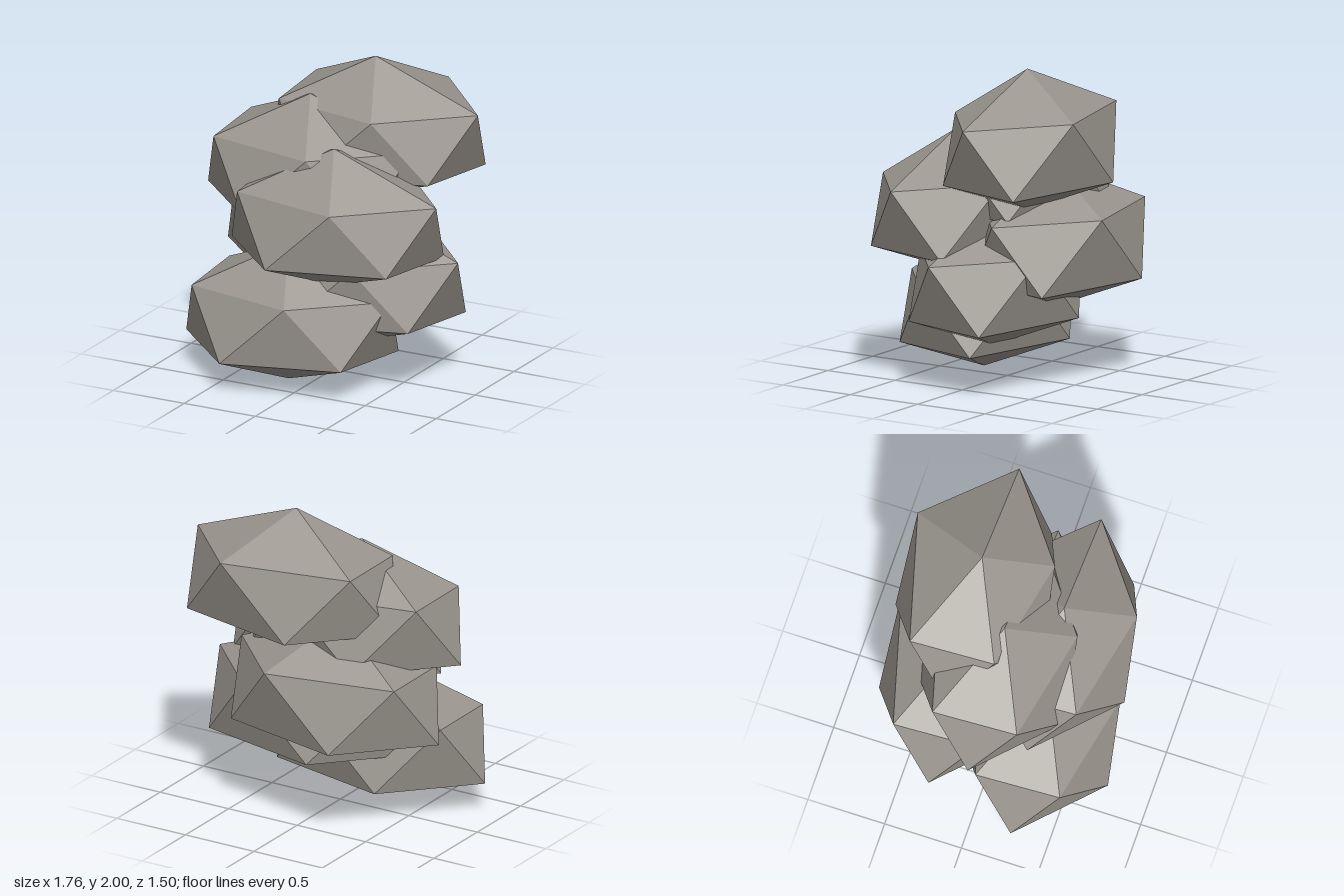
import * as THREE from 'three';

// One rough twelve-cornered stone: peak, two staggered rings of five, base point
function stoneGeometry() {
  const peak = [0, 0, 0];
  const upper = [[0.72, -0.27, 0], [0.19, -0.29, 0.41], [-0.54, -0.29, 0.26], [-0.57, -0.27, -0.28], [0.24, -0.25, -0.5]];
  const lower = [[0.52, -0.68, 0.28], [-0.23, -0.69, 0.47], [-0.72, -0.69, 0], [-0.22, -0.7, -0.49], [0.61, -0.7, -0.3]];
  const base = [0, -0.89, 0];
  const corners = [];
  for (let i = 0; i < 5; i++) {
    const j = (i + 1) % 5;
    corners.push(
      peak, upper[j], upper[i],
      upper[i], upper[j], lower[i],
      lower[i], upper[j], lower[j],
      base, lower[i], lower[j]
    );
  }
  const geometry = new THREE.BufferGeometry();
  geometry.setAttribute('position', new THREE.Float32BufferAttribute(corners.flat(), 3));
  geometry.computeVertexNormals();
  return geometry;
}

export function createModel() {
  const group = new THREE.Group();
  group.name = 'rockPile';
  const stone = new THREE.MeshStandardMaterial({ color: 0x9a958e, flatShading: true });
  stone.name = 'stone grey';
  const geometry = stoneGeometry();

  // Six stones stepping upward, alternating sideways and cycling front to back
  const depths = [0.28, 0, -0.255];
  for (let i = 0; i < 6; i++) {
    const rock = new THREE.Mesh(geometry, stone);
    rock.name = `rock${i + 1}`;
    rock.position.set(i % 2 ? 0.16 : -0.16, 0.89 + i * 0.222, depths[i % 3]);
    group.add(rock);
  }
  return group;
}
